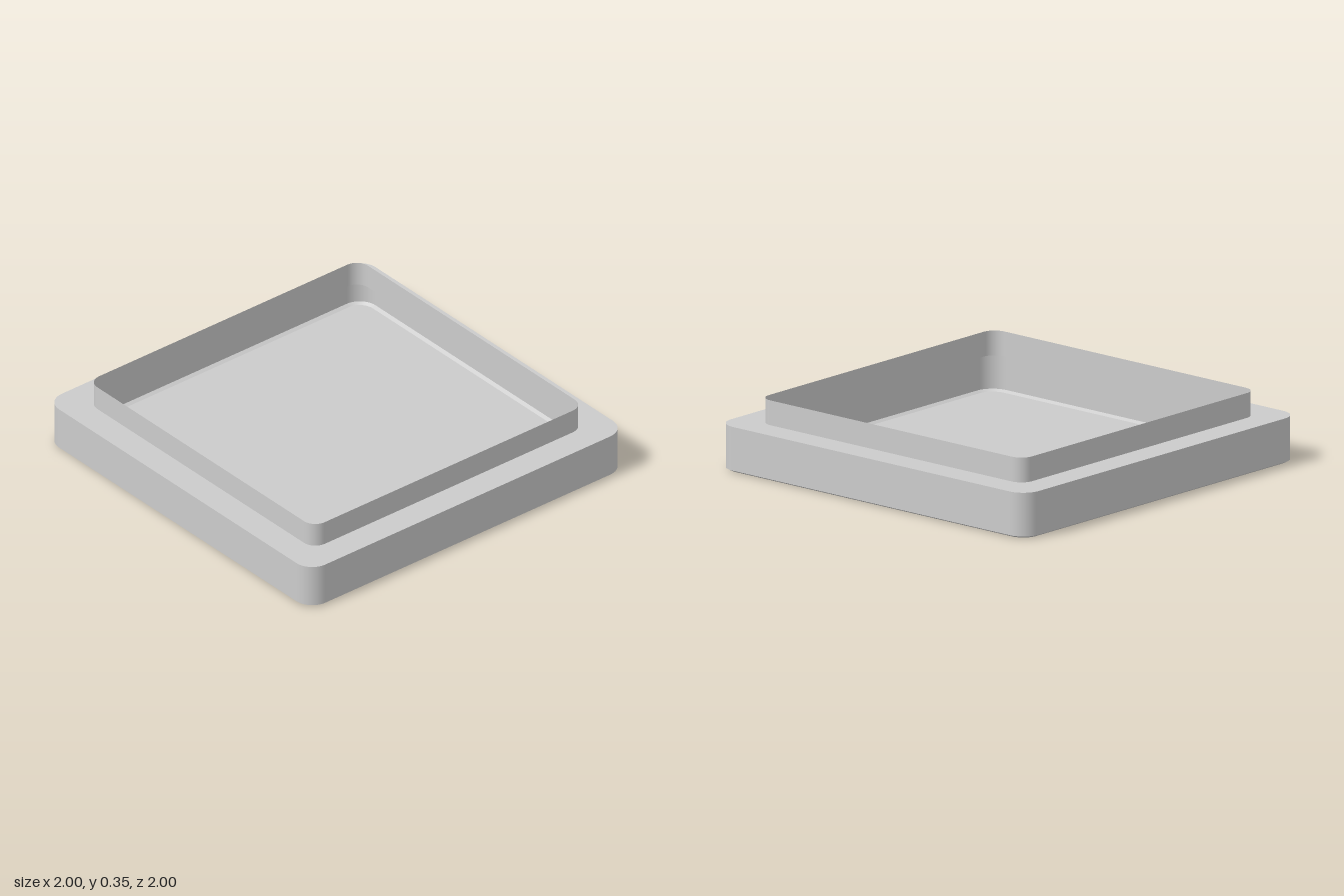
import * as THREE from 'three';

const material = new THREE.MeshStandardMaterial({ color: 0xcccccc, side: THREE.DoubleSide });
const ARC = 12; // segments per rounded corner

// Rounded square outline: points with their outward direction
function outline(half, radius) {
  const points = [];
  for (let corner = 0; corner < 4; corner++) {
    const mid = (corner + 0.5) * Math.PI / 2;
    const cx = Math.sign(Math.cos(mid)) * (half - radius);
    const cy = Math.sign(Math.sin(mid)) * (half - radius);
    for (let i = 0; i <= ARC; i++) {
      const a = (corner + i / ARC) * Math.PI / 2;
      const nx = Math.cos(a), ny = Math.sin(a);
      points.push({ x: cx + radius * nx, y: cy + radius * ny, nx, ny });
    }
  }
  return points;
}

// Thin band joining two rounded squares, given as [half, radius, height]
function band(name, lower, upper) {
  const position = [], normal = [], index = [];
  const rise = upper[2] - lower[2];
  const slope = lower[0] - upper[0];
  const length = Math.hypot(rise, slope);
  for (const [half, radius, y] of [lower, upper]) {
    for (const p of outline(half, radius)) {
      position.push(p.x, y, p.y);
      normal.push(p.nx * rise / length, slope / length, p.ny * rise / length);
    }
  }
  const n = position.length / 6;
  for (let i = 0; i < n; i++) {
    const j = (i + 1) % n;
    index.push(i, n + i, j, j, n + i, n + j);
  }
  const geometry = new THREE.BufferGeometry();
  geometry.setAttribute('position', new THREE.Float32BufferAttribute(position, 3));
  geometry.setAttribute('normal', new THREE.Float32BufferAttribute(normal, 3));
  geometry.setIndex(index);
  const mesh = new THREE.Mesh(geometry, material);
  mesh.name = name;
  return mesh;
}

// Flat rounded sheet, optionally with a rounded opening
function sheet(name, y, facing, outer, inner) {
  const toVectors = (size) => outline(...size).map((p) => new THREE.Vector2(p.x, p.y));
  const shape = new THREE.Shape(toVectors(outer));
  if (inner) shape.holes.push(new THREE.Path(toVectors(inner)));
  const geometry = new THREE.ShapeGeometry(shape).rotateX(-facing * Math.PI / 2);
  const mesh = new THREE.Mesh(geometry, material);
  mesh.position.y = y;
  mesh.name = name;
  return mesh;
}

export function createModel() {
  const group = new THREE.Group();
  group.name = 'tray';

  const outer = [1, 0.1];
  const base = [0.982, 0.082];
  const rim = [0.855, 0.07];
  const chamferTop = 0.01, ledgeHeight = 0.23, rimTop = 0.355;

  group.add(
    sheet('floor', 0, -1, base),
    band('bottomChamfer', [...base, 0], [...outer, chamferTop]),
    band('outerWall', [...outer, chamferTop], [...outer, ledgeHeight]),
    sheet('ledge', ledgeHeight, 1, outer, rim),
    band('raisedRim', [...rim, ledgeHeight], [...rim, rimTop]),
  );
  return group;
}
